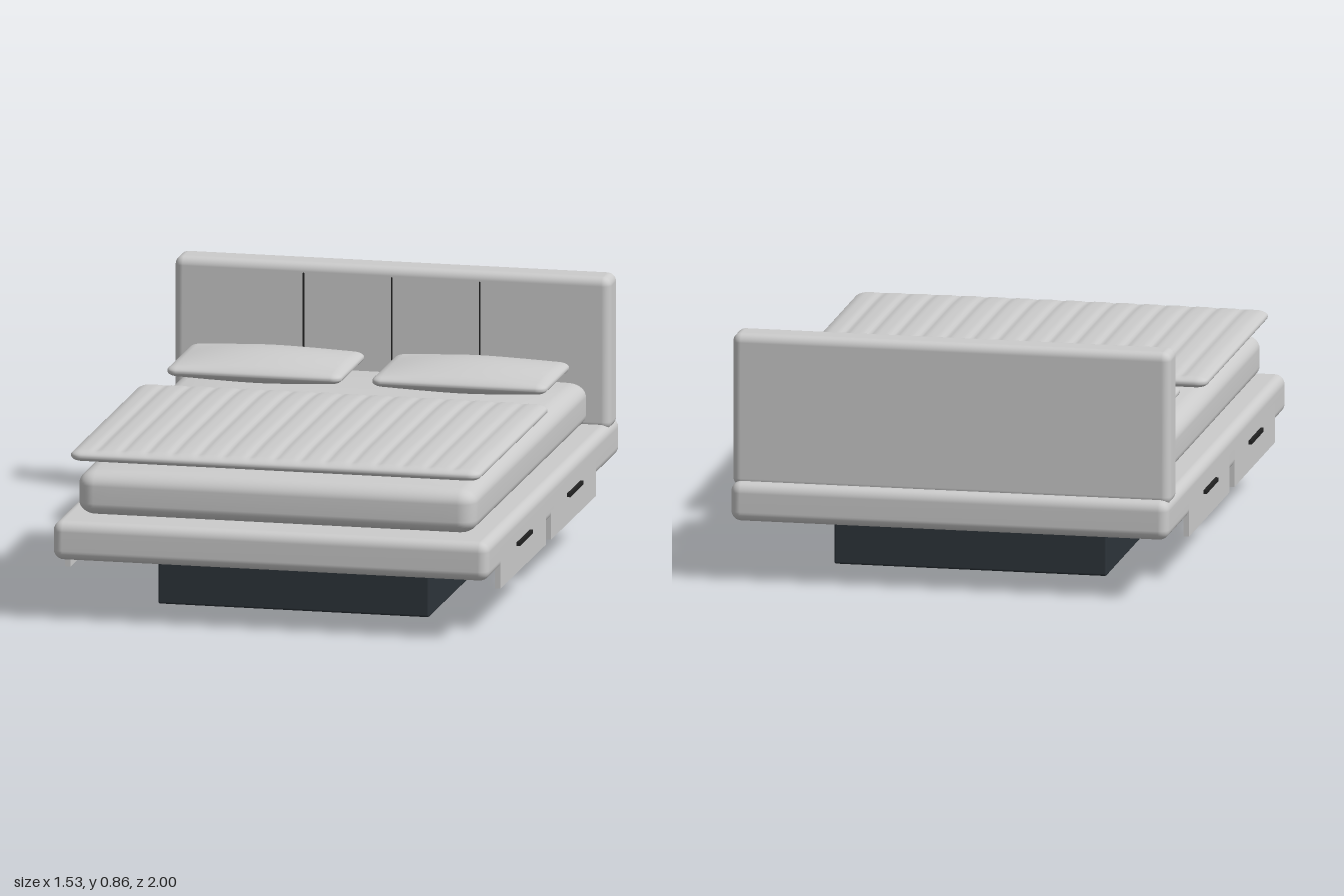
import * as THREE from 'three';
import { mergeVertices } from 'three/addons/utils/BufferGeometryUtils.js';

const grey = new THREE.MeshStandardMaterial({ color: 0xcccccc });
const slate = new THREE.MeshStandardMaterial({ color: 0x2d343a });
const black = new THREE.MeshStandardMaterial({ color: 0x222222 });

// Box with elliptically rounded edges; shape(p, u, v, w) may then move each vertex
// (u, v, w are the position scaled to -1..1).
function softBox(size, radii, inner = [1, 1, 1], shape = null) {
  const k = 5;
  const seg = inner.map((m) => m + 2 * k);
  const geo = new THREE.BoxGeometry(2, 2, 2, ...seg);
  const pos = geo.attributes.position;
  const p = new THREE.Vector3();
  for (let i = 0; i < pos.count; i++) {
    const core = [], off = [];
    for (let a = 0; a < 3; a++) {
      const h = size[a] / 2, r = radii[a], n = seg[a];
      const j = Math.round(((pos.getComponent(i, a) + 1) / 2) * n);
      const flat = h - r;
      if (j < k) { core[a] = -flat; off[a] = j / k - 1; }
      else if (j > n - k) { core[a] = flat; off[a] = 1 - (n - j) / k; }
      else { core[a] = -flat + (2 * flat * (j - k)) / (n - 2 * k); off[a] = 0; }
    }
    const len = Math.hypot(...off);
    p.fromArray(core.map((c, a) => c + (off[a] / len) * radii[a]));
    if (shape) shape(p, (2 * p.x) / size[0], (2 * p.y) / size[1], (2 * p.z) / size[2]);
    pos.setXYZ(i, p.x, p.y, p.z);
  }
  geo.deleteAttribute('normal');
  geo.deleteAttribute('uv');
  const merged = mergeVertices(geo, 1e-5);
  merged.computeVertexNormals();
  return merged;
}

export function createModel() {
  const bed = new THREE.Group();
  bed.name = 'bed';

  const add = (name, geo, mat, x, y, z) => {
    const mesh = new THREE.Mesh(geo, mat);
    mesh.name = name;
    mesh.position.set(x, y, z);
    bed.add(mesh);
    return mesh;
  };

  // Plinth, platform and headboard
  add('plinth', softBox([0.94, 0.17, 1.275], [0.008, 0.008, 0.008]), slate, 0, 0.085, 0.0025);
  add('platform', softBox([1.51, 0.135, 2], [0.035, 0.035, 0.035]), grey, 0, 0.2825, 0);
  add('headboard', softBox([1.51, 0.53, 0.12], [0.03, 0.03, 0.03]), grey, 0, 0.593, -0.902);

  // Seams dividing the headboard into panels
  for (const x of [-0.305, 0, 0.305]) {
    add('headboardSeam', new THREE.BoxGeometry(0.005, 0.475, 0.01), black, x, 0.587, -0.841);
  }

  // Two drawers with a pull on each side
  for (const side of [-1, 1]) {
    for (const z of [0.4625, -0.2975]) {
      add('drawerFront', new THREE.BoxGeometry(0.02, 0.14, 0.68), grey, side * 0.745, 0.222, z);
      add('drawerPull', new THREE.BoxGeometry(0.016, 0.013, 0.2), black, side * 0.758, 0.252, z);
    }
  }

  // Mattress with a crowned top
  const mattress = softBox([1.38, 0.15, 1.74], [0.06, 0.045, 0.06], [24, 2, 24], (p, u, v, w) => {
    if (v > 0) p.y += 0.036 * v * (1 - u ** 4) * (1 - w ** 4);
  });
  add('mattress', mattress, grey, 0, 0.43, 0.05);

  // Quilt with narrow lengthwise pleats that fade out near the hem
  const pitch = 0.0885;
  const quilt = softBox([1.42, 0.038, 1.075], [0.04, 0.017, 0.04], [144, 1, 18], (p, u, v, w) => {
    if (v <= 0) return;
    const fade = Math.min(1, 10 * (1 - Math.abs(w))) * Math.min(1, 25 * (1 - Math.abs(u)));
    const pleat = Math.cos((Math.PI * p.x) / pitch) ** 8;
    p.y += v * (0.014 * (1 - u ** 4) * (1 - w ** 6) - 0.006 * pleat * fade);
  });
  add('quilt', quilt, grey, 0, 0.564, 0.4025);

  // Pillows: thin rims swelling to a plump middle
  const pillow = softBox([0.605, 0.034, 0.395], [0.035, 0.015, 0.035], [20, 1, 16], (p, u, v, w) => {
    p.y += 0.036 * v * (1 - u * u) * (1 - w * w);
  });
  for (const side of [-1, 1]) add('pillow', pillow, grey, side * 0.355 - 0.004, 0.582, -0.5025);

  return bed;
}
